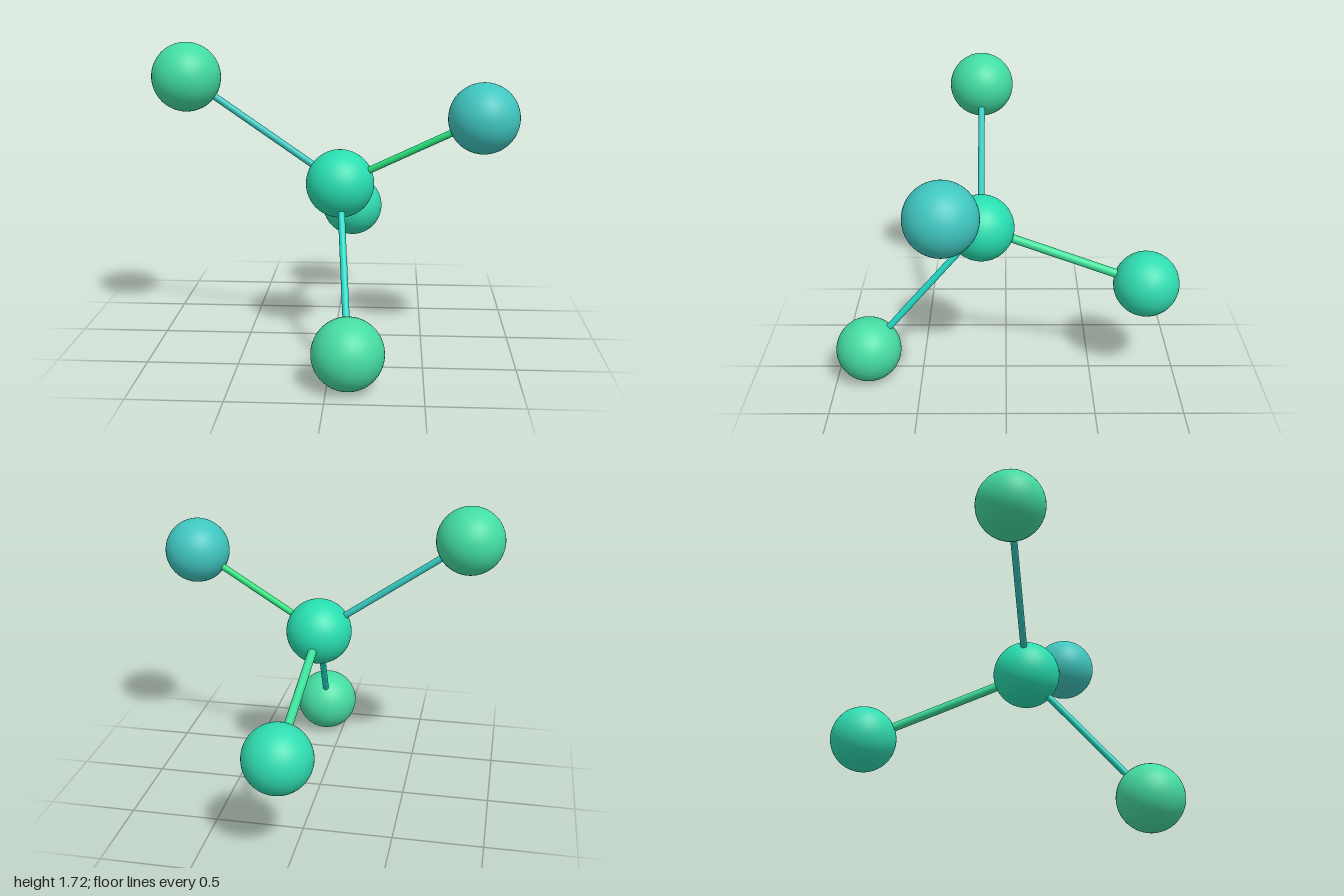
import * as THREE from 'three';

const BALL_RADIUS = 0.19;
const HUB = new THREE.Vector3(0.035, 0.937, 0.142);

// Outer balls, each joined to the hub by a rod
const ARMS = [
  { name: 'right', at: [-0.81, 1.525, 0.148], ball: 0x42dca2, rod: 0x35c8c0, radius: 0.019 },
  { name: 'left', at: [0.806, 1.332, 0.317], ball: 0x40c6c0, rod: 0x28e07a, radius: 0.019 },
  { name: 'back', at: [0.066, 0.597, -0.808], ball: 0x30dcb0, rod: 0x3ae09a, radius: 0.025 },
  { name: 'front', at: [0.11, 0.19, 0.808], ball: 0x46dca2, rod: 0x20d8c4, radius: 0.019 },
];

const paint = (color) => new THREE.MeshStandardMaterial({ color });

function ball(name, position, color) {
  const mesh = new THREE.Mesh(new THREE.SphereGeometry(BALL_RADIUS, 48, 32), paint(color));
  mesh.name = name;
  mesh.position.copy(position);
  return mesh;
}

// Cylinder running from centre to centre
function rod(name, from, to, radius, color) {
  const along = to.clone().sub(from);
  const mesh = new THREE.Mesh(new THREE.CylinderGeometry(radius, radius, along.length(), 24), paint(color));
  mesh.name = name;
  mesh.position.copy(from).addScaledVector(along, 0.5);
  mesh.quaternion.setFromUnitVectors(new THREE.Vector3(0, 1, 0), along.normalize());
  return mesh;
}

export function createModel() {
  const model = new THREE.Group();
  model.name = 'tetrahedralBallAndStick';
  model.add(ball('centreBall', HUB, 0x28deb0));
  for (const arm of ARMS) {
    const end = new THREE.Vector3(...arm.at);
    model.add(ball(`${arm.name}Ball`, end, arm.ball));
    model.add(rod(`${arm.name}Rod`, HUB, end, arm.radius, arm.rod));
  }
  return model;
}
